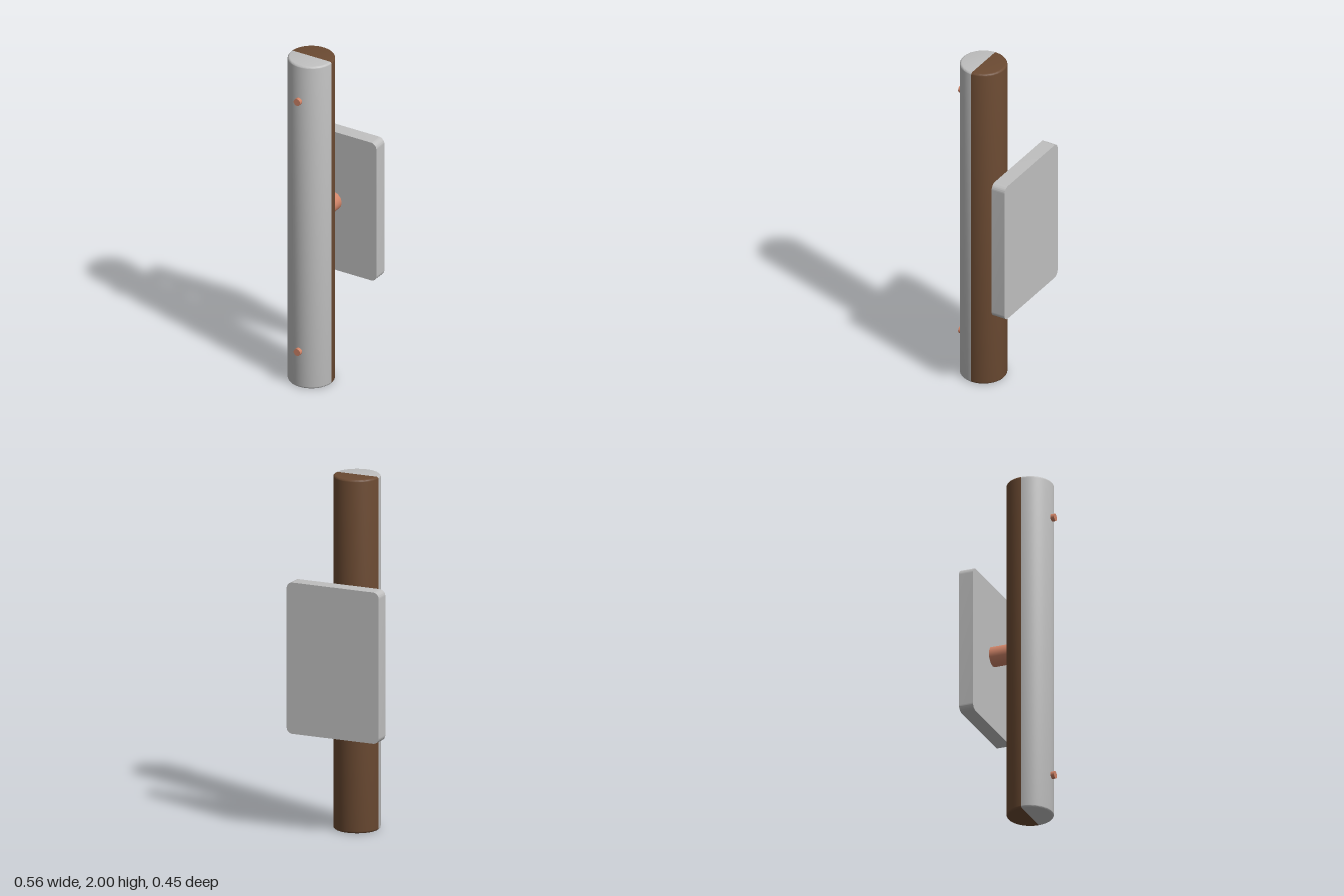
import * as THREE from 'three';
import { toCreasedNormals } from 'three/addons/utils/BufferGeometryUtils.js';

const material = (name, color, extra = {}) => new THREE.MeshStandardMaterial({ name, color, ...extra });

export function createModel() {
  const silver = material('silver', 0xc0c0c0);
  const wood = material('walnut brown', 0x6b4a32);
  const copper = material('copper', 0xd08468);

  const group = new THREE.Group();
  group.name = 'doorPullHandle';
  const add = (name, geometry, mat, x, y, z) => {
    const mesh = new THREE.Mesh(geometry, mat);
    mesh.name = name;
    mesh.position.set(x, y, z);
    group.add(mesh);
    return mesh;
  };

  // Upright bar: two half cylinders with slightly rounded rims
  const R = 0.13, H = 2, B = 0.012, barZ = 0.077;
  const profile = [new THREE.Vector2(0, 0)];
  for (let i = 0; i <= 4; i++) {
    const a = (i / 4) * Math.PI / 2;
    profile.push(new THREE.Vector2(R - B + B * Math.sin(a), B - B * Math.cos(a)));
  }
  for (let i = 0; i <= 4; i++) {
    const a = (i / 4) * Math.PI / 2;
    profile.push(new THREE.Vector2(R - B + B * Math.cos(a), H - B + B * Math.sin(a)));
  }
  profile.push(new THREE.Vector2(0, H));
  const halfBar = (start) =>
    toCreasedNormals(new THREE.LatheGeometry(profile, 32, start, Math.PI), 0.5);
  add('frontBarHalf', halfBar(-Math.PI / 2), silver, 0, 0, barZ);
  add('backBarHalf', halfBar(Math.PI / 2), wood, 0, 0, barZ);

  // Mounting plate with rounded corners
  const w = 0.28, h = 0.428, r = 0.035, depth = 0.083;
  const s = new THREE.Shape();
  s.absarc(w - r, h - r, r, 0, Math.PI / 2);
  s.absarc(-w + r, h - r, r, Math.PI / 2, Math.PI);
  s.absarc(-w + r, -h + r, r, Math.PI, Math.PI * 1.5);
  s.absarc(w - r, -h + r, r, Math.PI * 1.5, Math.PI * 2);
  s.closePath();
  const plate = new THREE.ExtrudeGeometry(s, { depth, bevelEnabled: false, curveSegments: 8 });
  add('mountingPlate', toCreasedNormals(plate, 0.6), silver, 0, 1.003, -0.228);

  // Horizontal round parts running along z
  const rod = (name, radius, y, z0, z1) => {
    const g = new THREE.CylinderGeometry(radius, radius, z1 - z0, 32).rotateX(Math.PI / 2);
    add(name, g, copper, 0, y, (z0 + z1) / 2);
  };
  rod('stem', 0.056, 1.003, -0.146, 0);
  rod('lowerPin', 0.021, 0.226, 0.17, 0.227);
  rod('upperPin', 0.021, 1.78, 0.17, 0.227);

  return group;
}
